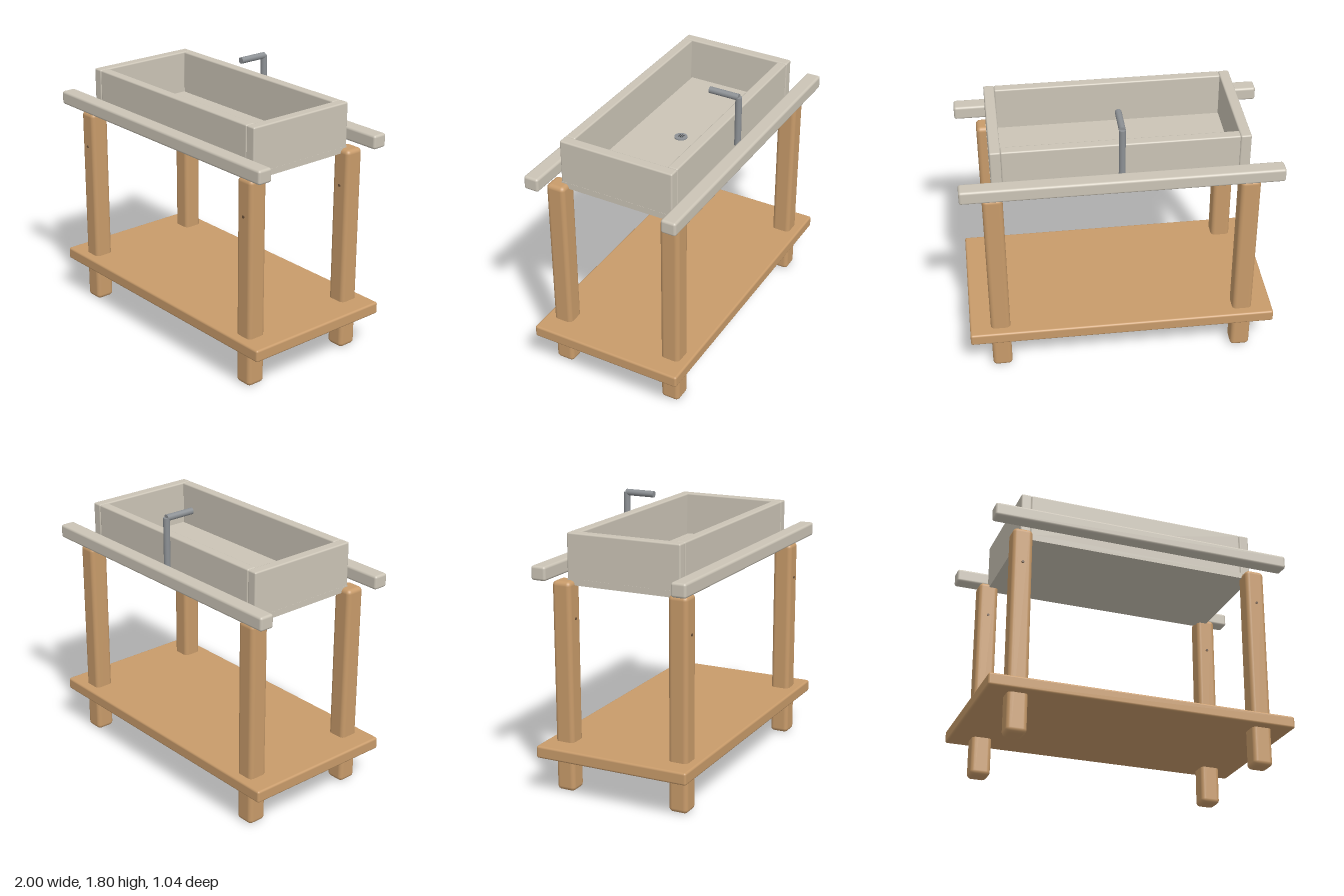
import * as THREE from 'three';
import { RoundedBoxGeometry } from 'three/addons/geometries/RoundedBoxGeometry.js';

function material(name, color) {
  const m = new THREE.MeshStandardMaterial({ color });
  m.name = name;
  return m;
}

export function createModel() {
  const wood = material('wood', 0xc89b6a);
  const stone = material('pale stone', 0xcbc4b6);
  const metal = material('brushed metal', 0x8c9094);
  const dark = material('dark slot', 0x3c3e40);
  const screw = material('screw brown', 0x6e5238);

  const model = new THREE.Group();
  model.name = 'washstand';

  const add = (name, geometry, mat, x, y, z) => {
    const mesh = new THREE.Mesh(geometry, mat);
    mesh.name = name;
    mesh.position.set(x, y, z);
    model.add(mesh);
    return mesh;
  };
  // Rounded board given by its min and max corners
  const board = (name, mat, [x0, y0, z0], [x1, y1, z1], radius) =>
    add(name, new RoundedBoxGeometry(x1 - x0, y1 - y0, z1 - z0, 3, radius), mat,
      (x0 + x1) / 2, (y0 + y1) / 2, (z0 + z1) / 2);

  // Legs, each with a small screw on its front face
  for (const sx of [-1, 1]) {
    for (const sz of [-1, 1]) {
      const end = (sz > 0 ? 'front' : 'back') + (sx > 0 ? 'Left' : 'Right');
      const x = sx * 0.8, z = sz * 0.397;
      board(end + 'Leg', wood, [x - 0.064, 0, z - 0.064], [x + 0.064, 1.365, z + 0.064], 0.028);
      const head = add(end + 'Screw', new THREE.CylinderGeometry(0.009, 0.009, 0.01, 12), screw,
        x, 1.125, z + 0.064);
      head.rotation.x = Math.PI / 2;
    }
  }

  // Lower shelf
  board('shelf', wood, [-1, 0.25, -0.52], [1, 0.33, 0.52], 0.014);

  // Long rails in front of and behind the basin
  board('frontRail', stone, [-1, 1.392, 0.42], [1, 1.482, 0.52], 0.016);
  board('backRail', stone, [-1, 1.392, -0.52], [1, 1.482, -0.42], 0.016);

  // Basin: floor slab and four walls
  add('basinFloor', new THREE.BoxGeometry(1.6, 0.04, 0.768), stone, 0, 1.355, 0);
  for (const s of [-1, 1]) {
    const x = s * 0.765, z = s * 0.351;
    board(s > 0 ? 'basinLeftWall' : 'basinRightWall', stone,
      [x - 0.034, 1.36, -0.385], [x + 0.034, 1.66, 0.385], 0.01);
    board(s > 0 ? 'basinFrontWall' : 'basinBackWall', stone,
      [-0.732, 1.36, z - 0.033], [0.732, 1.66, z + 0.033], 0.01);
  }

  // Drain with three slots
  add('drain', new THREE.CylinderGeometry(0.042, 0.042, 0.008, 32), metal, 0, 1.378, 0);
  for (const i of [-1, 0, 1]) {
    add('drainSlot', new THREE.BoxGeometry(0.034, 0.003, 0.005), dark, -0.004, 1.3825, i * 0.013);
  }

  // Tap: upright pipe and spout reaching over the basin
  add('tapPipe', new THREE.CylinderGeometry(0.021, 0.021, 0.34, 24), metal, 0, 1.61, -0.404);
  const spout = add('tapSpout', new THREE.CylinderGeometry(0.021, 0.021, 0.2, 24), metal, 0, 1.779, -0.305);
  spout.rotation.x = Math.PI / 2;

  return model;
}
